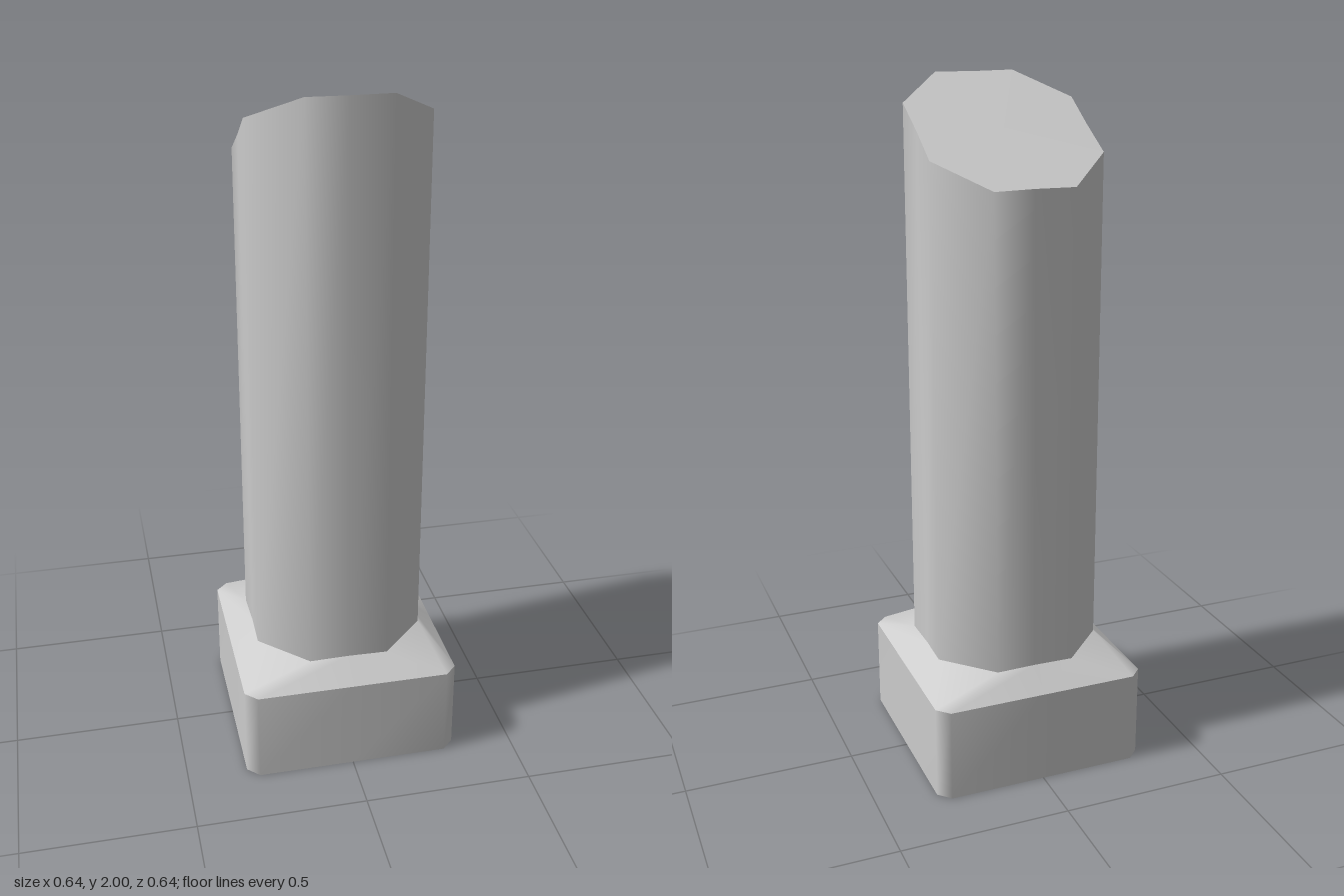
import * as THREE from 'three';

// Chamfered square cross-section, 12 points running front -> left (+x) -> back -> right.
// hx, hz: half sizes; cx, cz: chamfer corners; dip: inset of each side's middle; heightAt: y from z
function ring(hx, hz, cx, cz, dip, heightAt) {
  const quarter = [[0, hz - dip], [cx, hz], [hx, cz]];
  const half = [...quarter, [hx - dip, 0], [hx, -cz], [cx, -hz]];
  return [...half, ...half.map(([x, z]) => [-x, -z])]
    .map(([x, z]) => new THREE.Vector3(x, heightAt(z), z));
}

function makeMesh(name, points, index) {
  const geometry = new THREE.BufferGeometry().setFromPoints(points);
  geometry.setIndex(index);
  geometry.computeVertexNormals();
  const material = new THREE.MeshStandardMaterial({ color: 0xcccccc, side: THREE.DoubleSide });
  const mesh = new THREE.Mesh(geometry, material);
  mesh.name = name;
  return mesh;
}

// Smooth wall joining two rings, open at both ends
function band(name, lower, upper) {
  const n = lower.length;
  const index = [];
  for (let i = 0; i < n; i++) {
    const j = (i + 1) % n;
    index.push(i, j, n + j, i, n + j, n + i);
  }
  return makeMesh(name, [...lower, ...upper], index);
}

// Flat face closing a ring
function cap(name, points) {
  const n = points.length;
  const centre = points.reduce((s, p) => s.add(p), new THREE.Vector3()).divideScalar(n);
  const index = [];
  for (let i = 0; i < n; i++) index.push(n, i, (i + 1) % n);
  return makeMesh(name, [...points, centre], index);
}

export function createModel() {
  const model = new THREE.Group();
  model.name = 'slantedPost';

  const foot = ring(0.322, 0.322, 0.287, 0.287, 0, () => 0);
  const footTop = ring(0.322, 0.322, 0.287, 0.287, 0, () => 0.28);
  const neck = ring(0.252, 0.252, 0.117, 0.115, 0.003, () => 0.34);
  // Slanted cut, high at the front and low at the back
  const cut = ring(0.252, 0.23, 0.117, 0.11, 0.002, (z) => 2 + (z - 0.23) * 0.59);

  // Hollow base, sloping shoulder, tapering shaft and slanted top
  model.add(
    band('base', foot, footTop),
    band('shoulder', footTop, neck),
    band('shaft', neck, cut),
    cap('slantedTop', cut),
  );
  return model;
}
